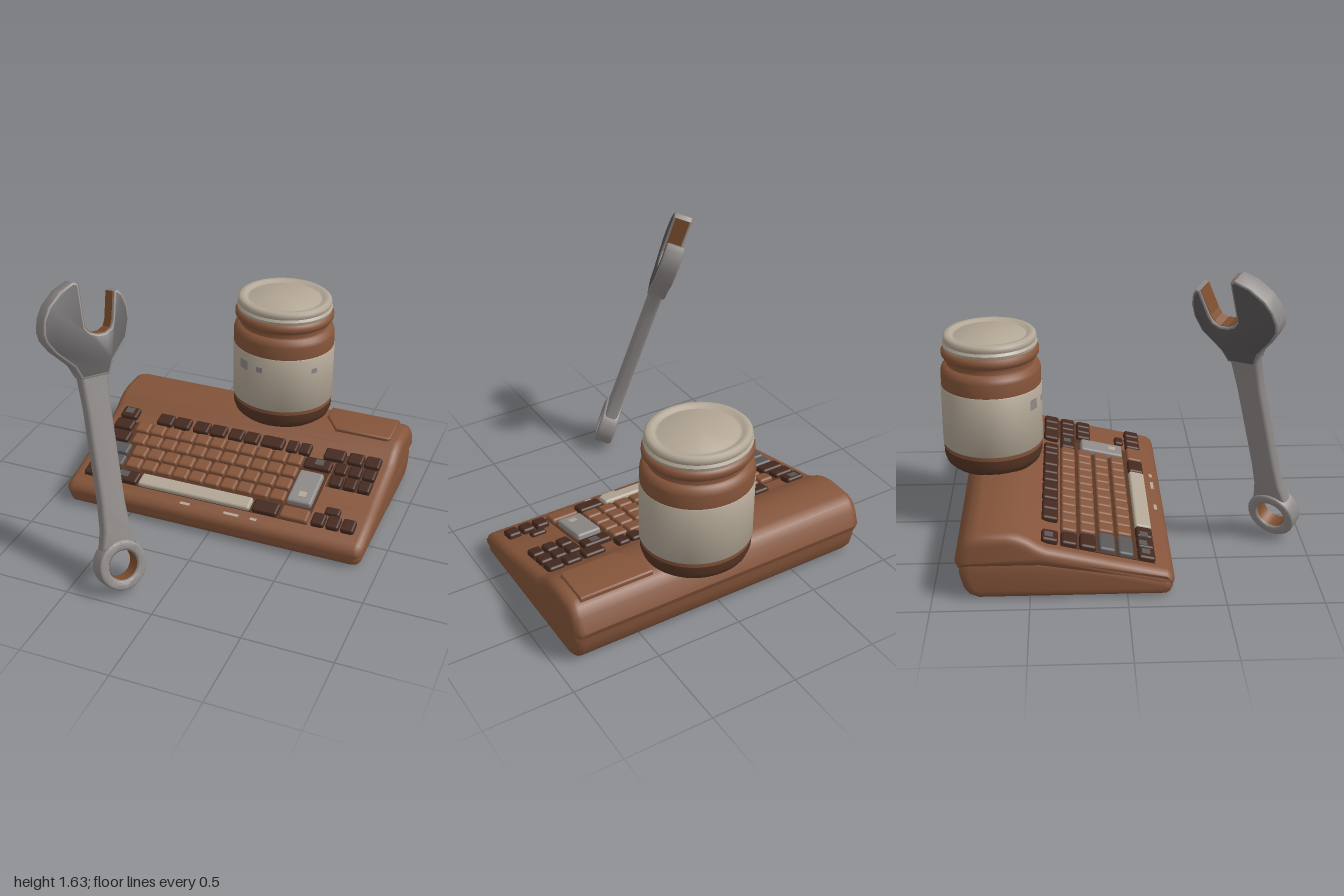
import * as THREE from 'three';
import { toCreasedNormals } from 'three/addons/utils/BufferGeometryUtils.js';
import { RoundedBoxGeometry } from 'three/addons/geometries/RoundedBoxGeometry.js';

const mat = (name, color, side = THREE.FrontSide) => {
  const m = new THREE.MeshStandardMaterial({ color, side });
  m.name = name;
  return m;
};
const M = {
  brown: mat('brown', 0x84543a),
  shade: mat('deep brown', 0x563524),
  dark: mat('dark key brown', 0x44291f),
  cream: mat('cream', 0xb3a796),
  grey: mat('steel grey', 0x8e8987),
  slate: mat('slate', 0x5a5757),
  copper: mat('copper lining', 0x80502f, THREE.DoubleSide),
};

const add = (parent, name, geo, material) => {
  const mesh = new THREE.Mesh(geo, material);
  mesh.name = name;
  parent.add(mesh);
  return mesh;
};
const shapeOf = (pts) => new THREE.Shape(pts.map(([x, y]) => new THREE.Vector2(x, y)));

// Bevelled slab centred on its thickness, outline kept at full size
function slab(shape, thick, bevel) {
  const geo = new THREE.ExtrudeGeometry(shape, {
    depth: thick - 2 * bevel, bevelEnabled: true, bevelThickness: bevel, bevelSize: bevel,
    bevelOffset: -bevel, bevelSegments: 4, curveSegments: 32,
  });
  geo.translate(0, 0, -(thick / 2 - bevel));
  return toCreasedNormals(geo, 0.7);
}

// Side profile (z, y) swept across x
const sweep = (profile, width, bevel) =>
  slab(shapeOf(profile.map(([z, y]) => [-z, y])), width, bevel).rotateY(Math.PI / 2);

const SLOPE = Math.atan(0.233);
const deckY = (z) => 0.185 - 0.233 * z;

function buildKeyboard() {
  const g = new THREE.Group();
  g.name = 'keyboard';

  // Lower and upper shells meeting at the seam
  add(g, 'lowerShell', sweep([
    [0.2, 0], [0.222, 0.015], [0.236, 0.045], [0.234, 0.08], [0.2, 0.11], [-0.1, 0.17], [-0.45, 0.23],
    [-0.82, 0.23], [-0.86, 0.19], [-0.858, 0.13], [-0.84, 0.06], [-0.81, 0.02], [-0.76, 0],
  ], 1.8, 0.05), M.brown);
  add(g, 'upperShell', sweep([
    [0.235, 0.062], [0.243, 0.085], [0.232, 0.118], [0.205, 0.138], [-0.05, 0.197], [-0.41, 0.281],
    [-0.45, 0.3], [-0.5, 0.334], [-0.55, 0.358], [-0.61, 0.369], [-0.76, 0.366], [-0.81, 0.345],
    [-0.845, 0.3], [-0.878, 0.215], [-0.865, 0.178], [-0.45, 0.178], [-0.1, 0.122],
  ], 1.82, 0.05), M.brown);

  // Raised panel on the rear hump
  const panel = slab(shapeOf([
    [0.41, 0.68], [0.5, 0.555], [0.82, 0.555], [0.835, 0.57], [0.835, 0.79], [0.41, 0.79],
  ]), 0.04, 0.012).rotateX(-Math.PI / 2);
  add(g, 'rearPanel', panel, M.brown).position.y = 0.362;

  // Box lying along the sloping deck
  const onDeck = (name, x0, x1, z0, z1, lift, h, material, geo) => {
    const w = x1 - x0, d = z1 - z0, z = (z0 + z1) / 2;
    const mesh = add(g, name, geo || new RoundedBoxGeometry(w, h, d, 2, 0.014), material);
    mesh.position.set((x0 + x1) / 2, deckY(z) + lift, z);
    mesh.rotation.x = SLOPE;
    return mesh;
  };
  const plate = (name, x0, x1, z0, z1, lift, material) =>
    onDeck(name, x0, x1, z0, z1, lift, 0.006, material, new THREE.BoxGeometry(x1 - x0, 0.006, z1 - z0));

  plate('keyWell', -0.83, 0.56, -0.35, 0.15, 0.002, M.shade);
  plate('keyWellRight', 0.57, 0.83, -0.43, -0.16, 0.002, M.shade);

  const rows = [[-0.442, -0.355], [-0.342, -0.258], [-0.246, -0.16], [-0.148, -0.062], [-0.05, 0.032], [0.055, 0.145]];
  const key = (row, x0, x1, material, name = 'key') =>
    onDeck(name, x0, x1, rows[row][0], rows[row][1], 0.006, 0.05, material);
  const run = (row, x0, x1, n, material) => {
    const p = (x1 - x0) / n;
    for (let i = 0; i < n; i++) key(row, x0 + i * p + 0.005, x0 + (i + 1) * p - 0.005, material);
  };

  // Rearmost row
  key(0, -0.83, -0.72, M.dark, 'escapeKey');
  for (const [x0, x1, n] of [[-0.59, -0.365, 2], [-0.35, -0.13, 2], [-0.12, 0.08, 2], [0.09, 0.24, 1], [0.25, 0.41, 2], [0.485, 0.62, 1], [0.63, 0.835, 2]])
    run(0, x0, x1, n, M.dark);

  // Letter block
  [[1, -0.69, 11], [2, -0.67, 11], [3, -0.625, 10], [4, -0.62, 10]].forEach(([r, x0, n]) => run(r, x0, 0.39, n, M.brown));

  // Modifier keys on both sides
  key(1, -0.83, -0.71, M.dark);
  key(2, -0.83, -0.69, M.dark);
  key(3, -0.82, -0.645, M.slate);
  key(4, -0.83, -0.635, M.slate);
  key(1, 0.4, 0.565, M.dark, 'backspaceKey');
  run(1, 0.58, 0.835, 3, M.dark);
  run(2, 0.58, 0.835, 3, M.dark);
  onDeck('enterKey', 0.4, 0.545, -0.225, 0.03, 0.01, 0.056, M.grey);
  onDeck('arrowUpKey', 0.63, 0.72, -0.01, 0.045, 0.002, 0.04, M.dark);

  // Bottom row with the space bar
  run(5, -0.835, -0.485, 3, M.dark);
  key(5, -0.48, 0.215, M.cream, 'spaceBar');
  run(5, 0.225, 0.385, 1, M.dark);
  run(5, 0.39, 0.565, 1, M.brown);
  run(5, 0.575, 0.835, 3, M.dark);

  // Painted spots on keys, and worn marks on the front rim
  for (const [x, z] of [[-0.78, -0.4], [0.49, -0.3], [-0.77, 0.1], [-0.58, 0.1], [-0.68, 0.09]])
    plate('keySpot', x - 0.026, x + 0.026, z - 0.022, z + 0.022, 0.0305, M.slate);
  plate('enterSpot', 0.455, 0.5, -0.05, -0.01, 0.037, M.cream);
  for (const [x0, x1] of [[-0.19, -0.13], [0.08, 0.17], [0.24, 0.28]])
    plate('rimMark', x0, x1, 0.182, 0.2, 0.001, M.cream);
  return g;
}

function buildJar() {
  const g = new THREE.Group();
  g.name = 'jar';
  const lathe = (name, pts, material) => add(g, name, toCreasedNormals(
    new THREE.LatheGeometry(pts.map(([r, y]) => new THREE.Vector2(r, y)), 64), 0.8), material);

  lathe('jarBase', [[0, 0.345], [0.22, 0.345], [0.262, 0.355], [0.288, 0.378], [0.3, 0.41], [0.302, 0.455]], M.shade);
  lathe('jarLowerBand', [[0.302, 0.455], [0.303, 0.478]], M.brown);
  lathe('jarLabel', [[0.303, 0.478], [0.306, 0.482], [0.306, 0.82], [0.303, 0.824]], M.cream);
  lathe('jarShoulder', [[0.303, 0.824], [0.303, 0.9], [0.297, 0.922], [0.28, 0.938], [0.265, 0.945], [0.26, 0.965],
    [0.265, 0.978], [0.285, 0.985], [0.295, 1.0], [0.295, 1.02], [0.285, 1.035], [0.265, 1.042]], M.brown);
  lathe('lid', [[0.262, 1.036], [0.282, 1.042], [0.286, 1.058], [0.276, 1.072], [0.281, 1.085], [0.279, 1.102], [0.266, 1.114],
    [0.24, 1.114], [0.226, 1.1], [0.214, 1.1], [0.205, 1.106], [0, 1.107]], M.cream);

  // Faded spots on the label
  for (const [angle, span, h] of [[-0.57, 0.22, 0.06], [-0.18, 0.13, 0.035], [0.95, 0.13, 0.03]])
    add(g, 'labelSpot', new THREE.CylinderGeometry(0.308, 0.308, h, 6, 1, true, angle - span / 2, span), M.grey)
      .position.y = 0.74;

  // Slightly oval jar
  g.scale.z = 0.925;
  g.position.set(0.105, 0, -0.72);
  return g;
}

function buildWrench() {
  const g = new THREE.Group();
  g.name = 'wrench';

  // Ring end with a copper-toned bore
  const ring = new THREE.Shape().absarc(0, 0, 0.138, 0, Math.PI * 2);
  ring.holes.push(new THREE.Path().absarc(0, 0, 0.083, 0, Math.PI * 2, true));
  add(g, 'ringEnd', slab(ring, 0.11, 0.015), M.grey);
  add(g, 'ringBore', new THREE.CylinderGeometry(0.081, 0.081, 0.085, 32, 1, true).rotateX(Math.PI / 2), M.copper);

  // Handle, flaring at both ends
  const half = [[0.1, 0.1], [0.078, 0.2], [0.07, 0.35], [0.07, 0.85], [0.078, 1.02], [0.105, 1.1], [0.13, 1.15]];
  add(g, 'handle', slab(shapeOf([...half, ...half.map(([x, y]) => [-x, y]).reverse()]), 0.08, 0.022), M.grey);

  // Open jaw with dark faces and light edges
  const jaw = [
    [-0.078, 1.03], [-0.11, 1.1], [-0.2, 1.19], [-0.24, 1.25], [-0.25, 1.3], [-0.235, 1.37], [-0.2, 1.43],
    [-0.13, 1.495], [-0.05, 1.53], [-0.022, 1.515], [-0.02, 1.29], [0.005, 1.26], [0.045, 1.245], [0.085, 1.245],
    [0.12, 1.265], [0.135, 1.3], [0.165, 1.445], [0.188, 1.45], [0.212, 1.42], [0.23, 1.36], [0.23, 1.29],
    [0.2, 1.2], [0.11, 1.1], [0.078, 1.03],
  ];
  add(g, 'jaw', slab(shapeOf(jaw), 0.11, 0.012), [M.slate, M.grey]);

  // Copper-toned lining of the jaw opening
  const lining = jaw.slice(9, 17);
  for (let i = 0; i < lining.length - 1; i++) {
    const [x0, y0] = lining[i], [x1, y1] = lining[i + 1];
    const strip = add(g, 'jawLining', new THREE.BoxGeometry(Math.hypot(x1 - x0, y1 - y0), 0.006, 0.085), M.copper);
    strip.position.set((x0 + x1) / 2, (y0 + y1) / 2, 0);
    strip.rotation.z = Math.atan2(y1 - y0, x1 - x0);
  }

  // Lean the wrench: width, length and face directions
  const along = new THREE.Vector3(-0.217, 0.95, -0.217).normalize();
  const face = new THREE.Vector3(0.6, -0.045, -0.8).cross(along).normalize();
  const across = along.clone().cross(face);
  g.quaternion.setFromRotationMatrix(new THREE.Matrix4().makeBasis(across, along, face));
  g.position.set(-0.25, 0.157, 0.85);
  return g;
}

export function createModel() {
  const model = new THREE.Group();
  model.name = 'keyboardJarAndWrench';
  model.add(buildKeyboard(), buildJar(), buildWrench());
  return model;
}
